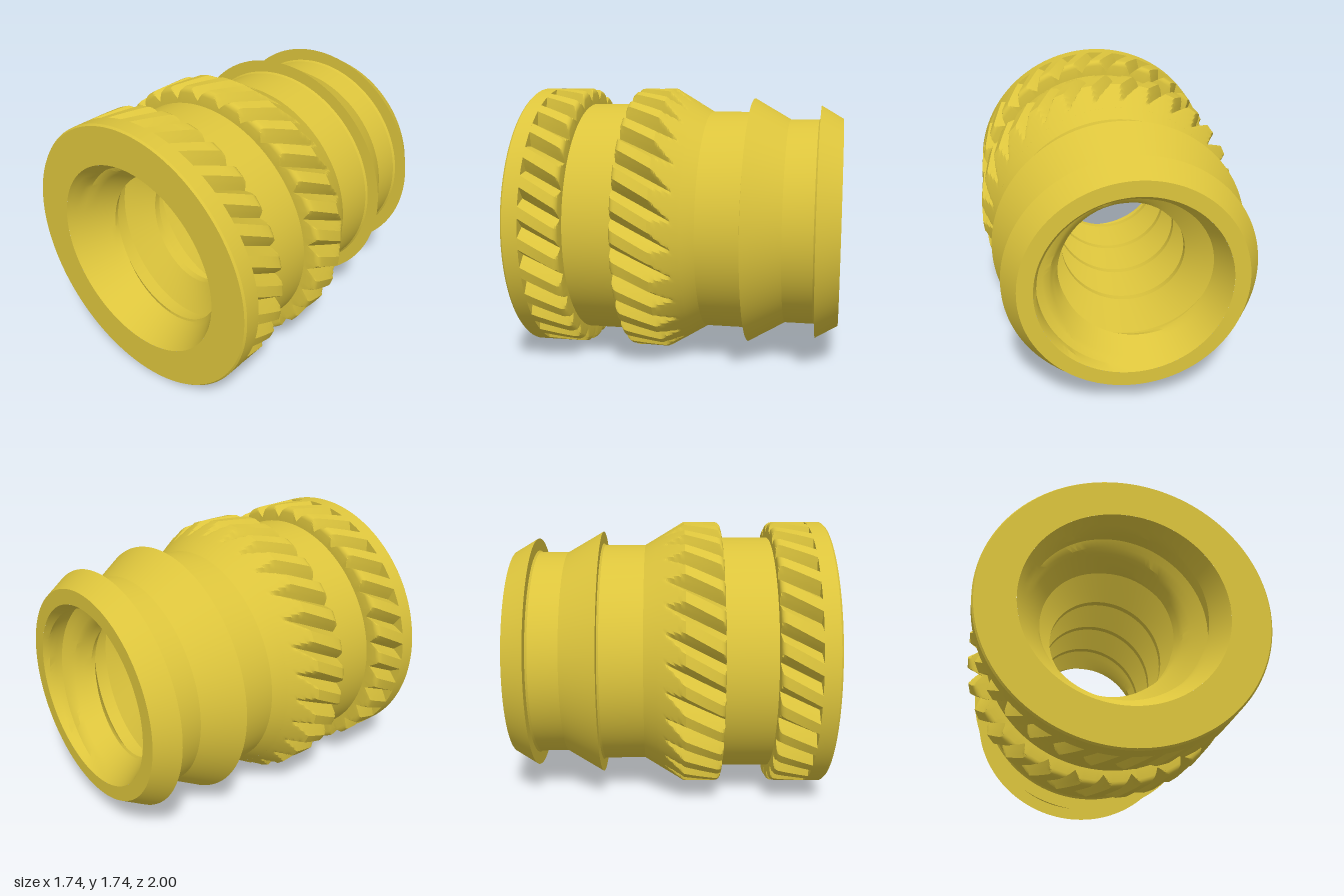
import * as THREE from 'three';
import { toCreasedNormals } from 'three/addons/utils/BufferGeometryUtils.js';

const TAU = Math.PI * 2;
const R = 0.868;     // largest radius
const CORE = 0.765;  // radius of the neck under the knurls

// Grid surface around the z axis; f(row, col) gives [radius, angle, z], z rising with row
function ringGrid(rows, cols, f, inward) {
  const pos = [], index = [];
  for (let i = 0; i < rows; i++)
    for (let j = 0; j <= cols; j++) {
      const [r, a, z] = f(i, j);
      pos.push(r * Math.cos(a), r * Math.sin(a), z);
    }
  for (let i = 0; i < rows - 1; i++)
    for (let j = 0; j < cols; j++) {
      const a = i * (cols + 1) + j, b = a + 1, d = a + cols + 1, c = d + 1;
      if (inward) index.push(a, c, b, a, d, c);
      else index.push(a, b, c, a, c, d);
    }
  const g = new THREE.BufferGeometry();
  g.setAttribute('position', new THREE.Float32BufferAttribute(pos, 3));
  g.setIndex(index);
  return toCreasedNormals(g, 0.5);
}

// Turned outer body, from the rear rim to the front rim
function bodyGeometry() {
  const profile = [
    [0.58, -1], [0.675, -1], [0.76, -0.857], [0.68, -0.857], [0.67, -0.845],
    [0.67, -0.66], [0.805, -0.427], [0.727, -0.427], [0.717, -0.415], [0.717, -0.15],
    [CORE, -0.07], [CORE, 0.89], [R, 0.89], [R, 0.988], [R - 0.01, 1], [0.62, 1],
  ].map(([r, z]) => new THREE.Vector2(r, z));
  const g = new THREE.LatheGeometry(profile, 128);
  g.rotateX(Math.PI / 2);
  return toCreasedNormals(g, 0.4);
}

// Band of slanted V grooves cut into a turned profile of [radius, z] rows
function knurlGeometry(profile) {
  const teeth = 29, land = 0.38, depth = 0.075, twist = 0.63;
  const steps = [0, land / 2, land, 0.48, 0.58, 0.69, 0.8, 0.9];
  const n = steps.length;
  return ringGrid(profile.length, teeth * n, (i, j) => {
    const [r, z] = profile[i];
    const u = steps[j % n];
    const cut = u <= land ? 0 : u <= 0.69 ? (u - land) / (0.69 - land) : (1 - u) / 0.31;
    const angle = (Math.floor(j / n) + u) / teeth * TAU + twist * z;
    return [Math.min(r, R - depth * cut), angle, z];
  });
}

// Quarter-round shoulder between a knurl and the neck; dir is the way the wall faces
function shoulder(z, dir) {
  const q = 0.035, rows = [];
  for (let k = 0; k <= 4; k++) {
    const a = k / 4 * Math.PI / 2;
    rows.push([R - q + q * Math.sin(a), z - dir * q * (1 - Math.cos(a))]);
  }
  rows.unshift([CORE, z]);
  return rows;
}

// Threaded bore with a countersink at each end
function boreGeometry() {
  const pitch = 0.34, minor = 0.375, major = 0.56, slope = 0.577, cols = 96;
  const steps = [-0.06, 0.06, 0.14, 0.22, 0.3, 0.37, 0.5, 0.63, 0.7, 0.78, 0.86];
  const rows = [];
  for (let k = -6; k <= 1; k++)
    for (const s of steps) {
      const d = s > 0.5 ? 1 - s : Math.abs(s);
      const t = THREE.MathUtils.clamp((d - 0.06) / 0.31, 0, 1);
      rows.push([minor + (major - minor) * t, 0.61 + (k + s) * pitch]);
    }
  return ringGrid(rows.length, cols, (i, j) => {
    const a = j / cols * TAU;
    const z = THREE.MathUtils.clamp(rows[i][1] + pitch * j / cols, -1, 1);
    const r = Math.max(rows[i][0], 0.62 - slope * (1 - z), 0.58 - slope * (1 + z));
    return [r, a, z];
  }, true);
}

export function createModel() {
  const brass = new THREE.MeshStandardMaterial({ color: 0xdcc43c });
  brass.name = 'brass';
  const model = new THREE.Group();
  model.name = 'threadedInsert';
  const add = (name, geometry) => {
    const mesh = new THREE.Mesh(geometry, brass);
    mesh.name = name;
    mesh.position.y = R;
    model.add(mesh);
  };

  add('body', bodyGeometry());
  add('threadedBore', boreGeometry());

  // Front knurl sits against the flange
  const front = shoulder(0.65, -1);
  for (let k = 1; k <= 4; k++) front.push([R, 0.685 + 0.205 * k / 4]);
  add('frontKnurl', knurlGeometry(front));

  // Rear knurl runs out on the cone
  const rear = [];
  for (let k = 0; k <= 14; k++) {
    const z = -0.07 + 0.17 * k / 14;
    rear.push([CORE + (R - CORE) * k / 14, z]);
  }
  for (let k = 1; k <= 3; k++) rear.push([R, 0.1 + 0.2 * k / 4]);
  rear.push(...shoulder(0.335, 1).reverse());
  add('rearKnurl', knurlGeometry(rear));

  return model;
}
